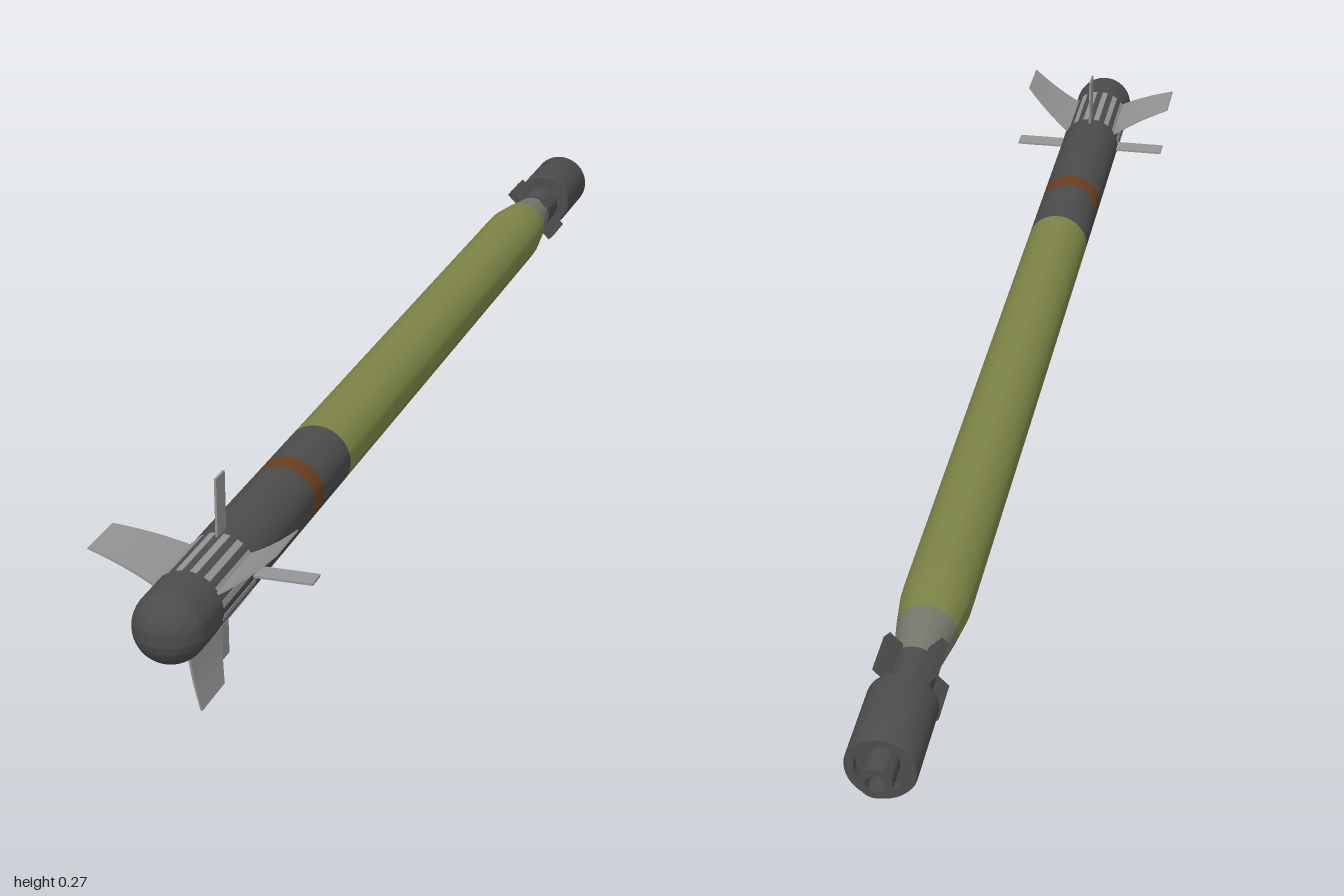
import * as THREE from 'three';
import { toCreasedNormals } from 'three/addons/utils/BufferGeometryUtils.js';

const AXIS_Y = 0.143, R = 0.048;

function material(name, color) {
  const m = new THREE.MeshStandardMaterial({ color });
  m.name = name;
  return m;
}

export function createModel() {
  const dark = material('dark grey', 0x4c4c4c);
  const olive = material('olive green', 0x7d8446);
  const grey = material('light grey', 0x949494);
  const taperGrey = material('olive grey', 0x74786a);
  const brown = material('brown', 0x6b3e20);

  const model = new THREE.Group();
  model.name = 'finnedTube';
  // Everything is built around the z axis, then lifted
  const body = new THREE.Group();
  body.name = 'body';
  body.position.y = AXIS_Y;
  model.add(body);

  function add(name, geometry, mat, angle = 0) {
    const mesh = new THREE.Mesh(geometry, mat);
    mesh.name = name;
    mesh.rotation.z = angle;
    body.add(mesh);
    return mesh;
  }

  // Turned part: profile of [radius, z] from back to front
  function turned(name, profile, mat) {
    const lathe = new THREE.LatheGeometry(profile.map(([r, z]) => new THREE.Vector2(r, z)), 40);
    lathe.rotateX(Math.PI / 2);
    add(name, toCreasedNormals(lathe, 0.6), mat);
  }

  // Front section with rounded nose
  const nose = [];
  for (let i = 0; i <= 12; i++) {
    const a = (i / 12) * Math.PI / 2;
    nose.push([i === 12 ? 0 : R * Math.cos(a), 0.952 + R * Math.sin(a)]);
  }
  turned('noseSection', [[R, 0.56], ...nose], dark);
  turned('colourBand', [[R, 0.525], [R, 0.56]], brown);
  turned('frontCollar', [[R, 0.41], [R, 0.525]], dark);

  // Main tube and tapered tail
  turned('mainTube', [[0.041, -0.685], [0.0475, -0.63], [R, -0.6], [R, 0.41]], olive);
  turned('tailTaper', [[0.028, -0.77], [0.041, -0.685]], taperGrey);
  turned('tailNeck', [[0.025, -0.85], [0.025, -0.81]], olive);
  turned('clampCore', [[0, -0.822], [0.031, -0.822], [0.031, -0.762], [0, -0.762]], dark);

  // Rear can with recessed face and hollow nozzle
  turned('rearCan', [
    [0, -0.96], [0.013, -0.96], [0.013, -1], [0.022, -1], [0.022, -0.958],
    [0.034, -0.958], [0.034, -0.972], [0.045, -0.972], [0.047, -0.968],
    [0.047, -0.84], [0.045, -0.838], [0, -0.838],
  ], dark);

  // Four clamp blocks on the diagonals
  for (let i = 0; i < 4; i++) {
    const block = new THREE.BoxGeometry(0.012, 0.029, 0.07);
    block.translate(0, 0.0395, -0.787);
    add('clampBlock', block, dark, Math.PI / 4 + i * Math.PI / 2);
  }

  // Pale slots round the front section
  for (let i = 0; i < 16; i++) {
    const slot = new THREE.BoxGeometry(0.009, 0.002, 0.115);
    slot.translate(0, R - 0.0004, 0.842);
    add('finSlot', slot, grey, (i + 0.5) * Math.PI / 8);
  }

  // Three large curved fins: swept rear edge, bending sideways towards the tip
  const curved = new THREE.BoxGeometry(1, 1, 1, 1, 10, 1);
  const p = curved.attributes.position;
  for (let i = 0; i < p.count; i++) {
    const t = p.getY(i) + 0.5;
    const thick = 0.004 - 0.002 * t;
    const z = p.getZ(i) > 0 ? 0.903 - 0.005 * t : 0.78 + 0.04 * t;
    p.setXYZ(i, p.getX(i) * thick - 0.014 * t ** 1.8, 0.043 + 0.1 * t, z);
  }
  curved.computeVertexNormals();
  for (let i = 0; i < 3; i++) add('curvedFin', curved, grey, Math.PI + i * Math.PI * 2 / 3);

  // Four straight narrow fins behind them
  for (let i = 0; i < 4; i++) {
    const fin = new THREE.BoxGeometry(0.003, 0.085, 0.03);
    fin.translate(0, 0.0845, 0.782);
    add('straightFin', fin, grey, i * Math.PI / 2);
  }

  return model;
}
